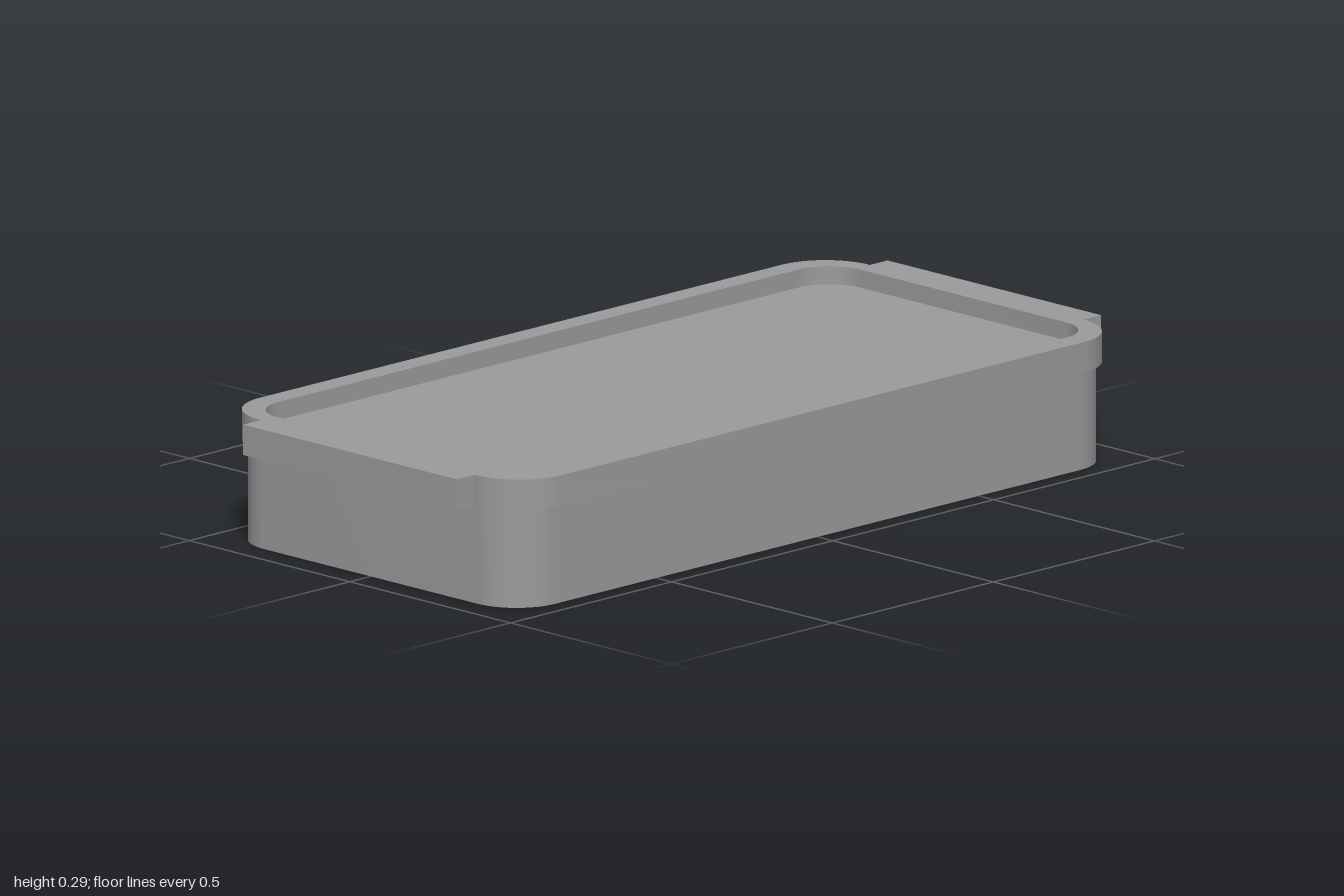
import * as THREE from 'three';
import { toCreasedNormals } from 'three/addons/utils/BufferGeometryUtils.js';

const material = new THREE.MeshStandardMaterial({ color: 0x9b9b9b });

// Rounded rectangle with half-width w, half-length l and corner radius r.
// A tab [halfWidth, reach] can be added on both short ends.
function outline(path, w, l, r, tab) {
  path.moveTo(w, -l + r);
  for (const s of [1, -1]) {
    path.lineTo(s * w, s * (l - r));
    path.absarc(s * (w - r), s * (l - r), r, s > 0 ? 0 : Math.PI, s > 0 ? Math.PI / 2 : Math.PI * 1.5, false);
    if (tab) {
      path.lineTo(s * tab[0], s * l);
      path.lineTo(s * tab[0], s * tab[1]);
      path.lineTo(-s * tab[0], s * tab[1]);
      path.lineTo(-s * tab[0], s * l);
    }
    path.absarc(-s * (w - r), s * (l - r), r, s > 0 ? Math.PI / 2 : Math.PI * 1.5, s > 0 ? Math.PI : Math.PI * 2, false);
  }
  path.closePath();
  return path;
}

// Horizontal slab from y0 to y1, optionally with a hole
function slab(name, shape, hole, y0, y1) {
  if (hole) shape.holes.push(hole);
  const extruded = new THREE.ExtrudeGeometry(shape, { depth: y1 - y0, bevelEnabled: false, curveSegments: 16 });
  const geometry = toCreasedNormals(extruded, 0.5);
  geometry.rotateX(-Math.PI / 2);
  geometry.translate(0, y0, 0);
  const mesh = new THREE.Mesh(geometry, material);
  mesh.name = name;
  return mesh;
}

export function createModel() {
  const group = new THREE.Group();
  group.name = 'shallowCover';

  // Thin skirt, open at the bottom
  group.add(slab('skirt',
    outline(new THREE.Shape(), 0.453, 0.935, 0.12),
    outline(new THREE.Path(), 0.451, 0.933, 0.118), 0, 0.226));

  // Overhanging rim with a flush tab at each end
  group.add(slab('rimWithTabs',
    outline(new THREE.Shape(), 0.47, 0.945, 0.135, [0.332, 1]),
    outline(new THREE.Path(), 0.415, 0.902, 0.095), 0.226, 0.295));

  // Recessed panel closing the rim
  group.add(slab('recessedPanel',
    outline(new THREE.Shape(), 0.416, 0.903, 0.096), null, 0.25, 0.254));

  return group;
}
